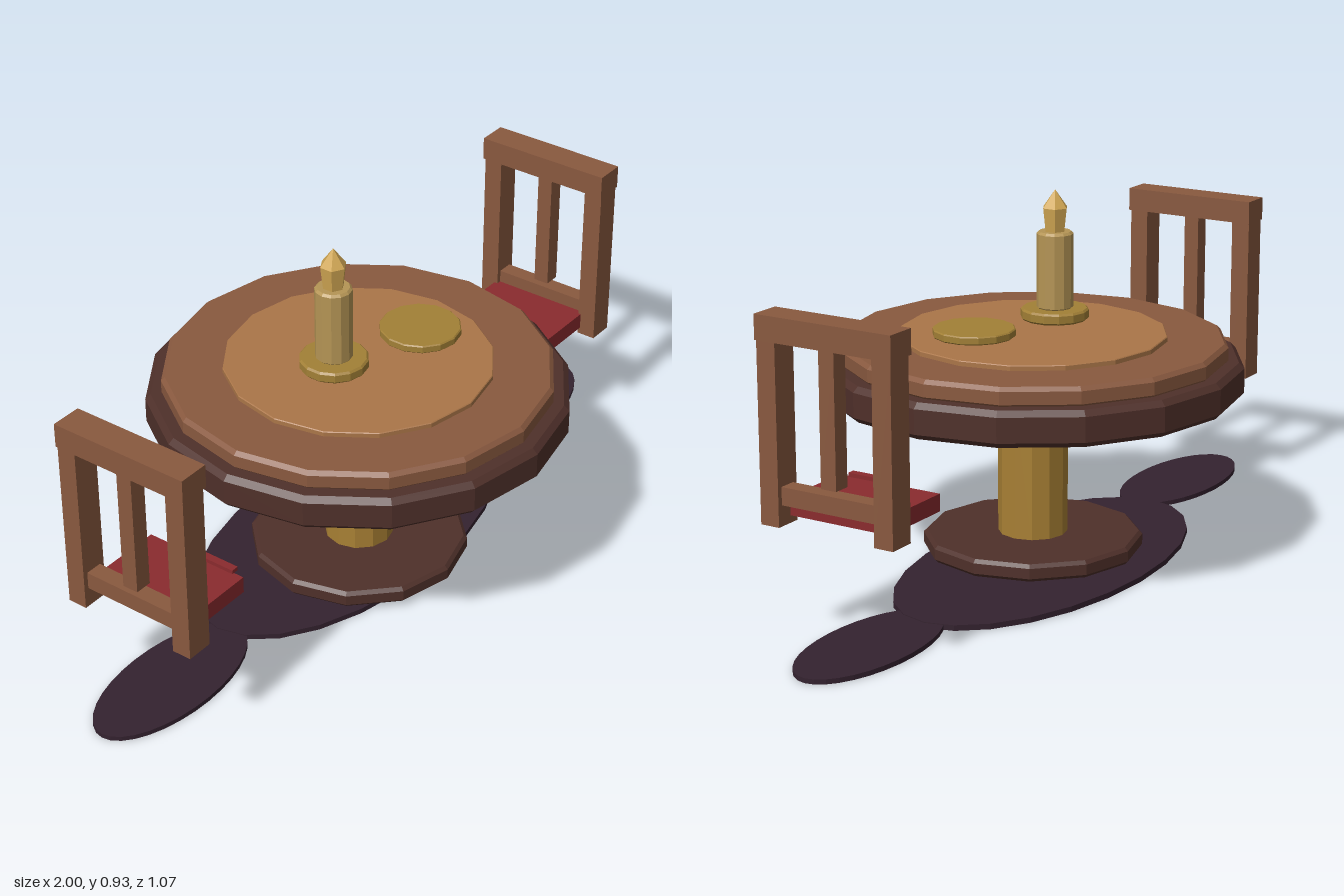
import * as THREE from 'three';

const mat = (name, color) => {
  const m = new THREE.MeshStandardMaterial({ color });
  m.name = name;
  return m;
};

export function createModel() {
  const root = new THREE.Group();
  root.name = 'diningSet';
  const CX = -0.033; // centre of the table

  const darkWood = mat('darkWood', 0x4f302a);
  const midWood = mat('midWood', 0x89593f);
  const lightWood = mat('lightWood', 0xab7648);
  const brass = mat('brass', 0xa88034);
  const dishBrass = mat('dishBrass', 0xa28036);
  const wax = mat('wax', 0xb59555);
  const flameGold = mat('flameGold', 0xcfa552);
  const red = mat('redCushion', 0x8a2b2e);
  const floorDark = mat('floorDark', 0x34222f);

  const add = (parent, name, geo, material, x = 0, y = 0, z = 0) => {
    const mesh = new THREE.Mesh(geo, material);
    mesh.name = name;
    mesh.position.set(x, y, z);
    parent.add(mesh);
    return mesh;
  };

  // Faceted solid of revolution from [radius, height] pairs, bottom to top
  const turned = (profile, sides) => {
    const g = new THREE.LatheGeometry(profile.map(p => new THREE.Vector2(...p)), sides).toNonIndexed();
    g.computeVertexNormals();
    return g;
  };

  // Disc with bevelled edges
  const disc = (r, y0, y1, bevel, sides) => turned([
    [0, y0], [r - bevel, y0], [r, y0 + bevel], [r, y1 - bevel], [r - bevel, y1], [0, y1],
  ], sides);

  // Box given by its minimum and maximum corners
  const block = (parent, name, material, [x0, y0, z0], [x1, y1, z1]) =>
    add(parent, name, new THREE.BoxGeometry(x1 - x0, y1 - y0, z1 - z0), material,
      (x0 + x1) / 2, (y0 + y1) / 2, (z0 + z1) / 2);

  // Flat dark patches on the floor
  const patch = (name, x, z, rx, rz, h, sides) => {
    const m = add(root, name, turned([[0, 0], [1, 0], [1, 1], [0, 1]], sides), floorDark, x, 0, z);
    m.scale.set(rx, h, rz);
  };
  patch('centreFloorPatch', 0.02, -0.07, 0.55, 0.28, 0.014, 24);
  patch('leftFloorPatch', 0.745, -0.037, 0.255, 0.118, 0.012, 32);
  patch('rightFloorPatch', -0.745, -0.037, 0.255, 0.118, 0.012, 32);

  // Table
  const table = new THREE.Group();
  table.name = 'table';
  table.position.x = CX;
  root.add(table);
  add(table, 'foot', disc(0.281, 0.015, 0.06, 0.009, 12), darkWood);
  add(table, 'column', disc(0.089, 0.055, 0.44, 0.001, 12), brass);
  add(table, 'tableRim', disc(0.534, 0.434, 0.525, 0.014, 16), darkWood);
  add(table, 'tableTop', disc(0.493, 0.52, 0.572, 0.01, 16), midWood);
  add(table, 'topInset', disc(0.34, 0.57, 0.585, 0.002, 16), lightWood);

  // Candle and plate
  const candle = new THREE.Group();
  candle.name = 'candle';
  candle.position.set(-0.12, 0, -0.011);
  root.add(candle);
  add(candle, 'candleDish', disc(0.087, 0.602, 0.631, 0.005, 14), dishBrass);
  add(candle, 'candleStick', disc(0.047, 0.628, 0.828, 0.006, 12), wax);
  add(candle, 'flame', turned([[0, 0.826], [0.027, 0.828], [0.034, 0.888], [0, 0.934]], 6), flameGold);
  add(root, 'plate', disc(0.104, 0.601, 0.622, 0.003, 14), dishBrass, 0.134, 0, 0.068);

  // Chairs, facing each other across the table
  for (const s of [1, -1]) {
    const chair = new THREE.Group();
    chair.name = s > 0 ? 'leftChair' : 'rightChair';
    chair.position.x = CX;
    root.add(chair);
    const part = (name, material, [x0, y0, z0], [x1, y1, z1]) =>
      block(chair, name, material, [Math.min(s * x0, s * x1), y0, z0], [Math.max(s * x0, s * x1), y1, z1]);
    part('frontPost', midWood, [0.82, 0.295, 0.133], [0.89, 0.737, 0.184]);
    part('backPost', midWood, [0.82, 0.295, -0.184], [0.89, 0.737, -0.133]);
    part('topRail', midWood, [0.813, 0.733, -0.187], [0.893, 0.794, 0.187]);
    part('middleSlat', midWood, [0.833, 0.404, -0.021], [0.877, 0.737, 0.021]);
    part('lowerRail', midWood, [0.833, 0.346, -0.135], [0.877, 0.39, 0.135]);
    part('seat', red, [0.64, 0.313, -0.143], [0.845, 0.356, 0.14]);
    part('seatTrim', red, [0.626, 0.356, -0.05], [0.646, 0.366, 0.112]);
  }

  return root;
}
